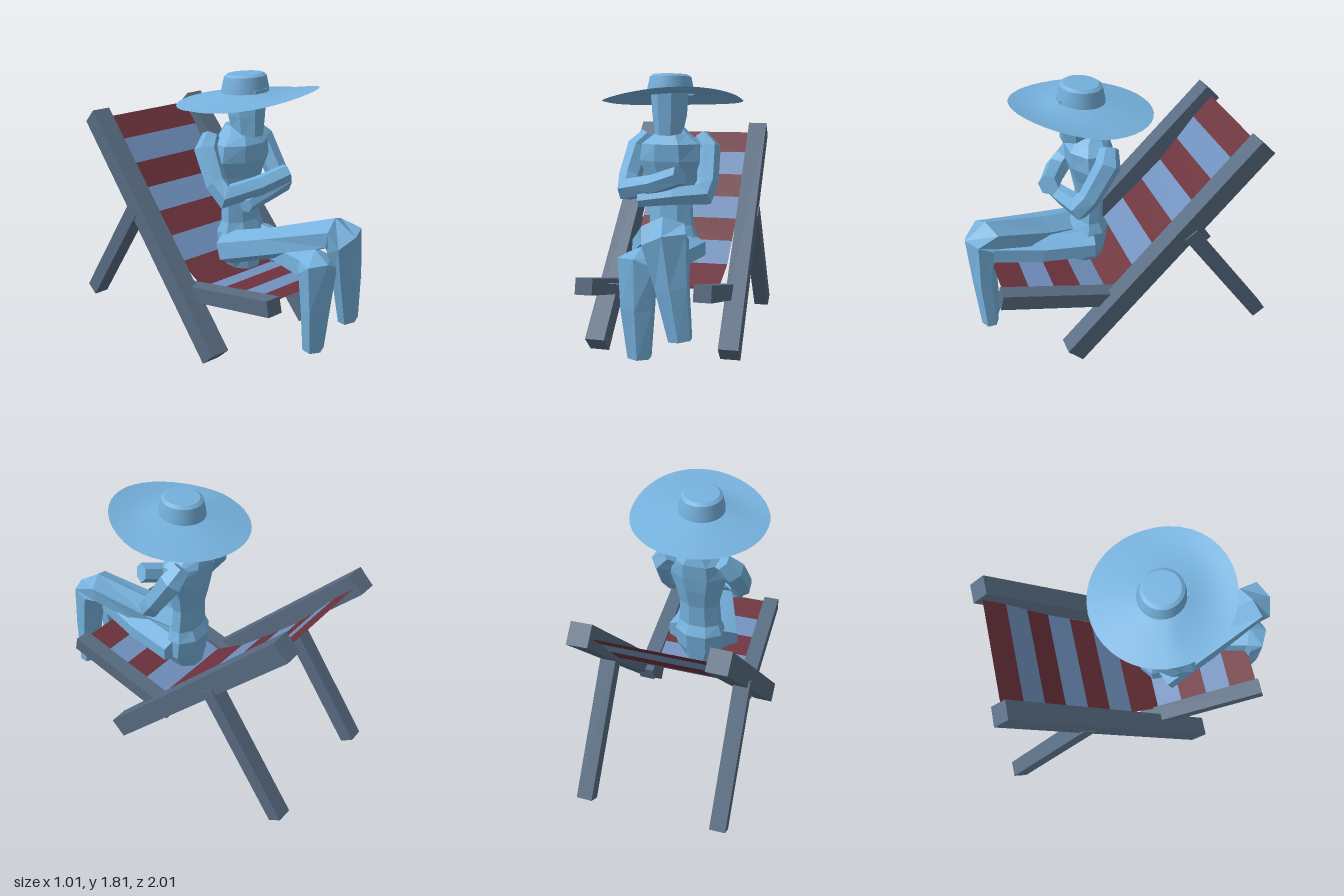
import * as THREE from 'three';
import { toCreasedNormals } from 'three/addons/utils/BufferGeometryUtils.js';

const paint = (color, extra = {}) => new THREE.MeshStandardMaterial({ color, ...extra });

function addMesh(parent, name, geometry, material) {
  const mesh = new THREE.Mesh(geometry, material);
  mesh.name = name;
  parent.add(mesh);
  return mesh;
}

// Straight timber of width w and thickness t running from a to b
function beam(parent, name, a, b, w, t, material) {
  const from = new THREE.Vector3(...a), to = new THREE.Vector3(...b);
  const mesh = addMesh(parent, name, new THREE.BoxGeometry(w, t, from.distanceTo(to)), material);
  mesh.position.copy(from).lerp(to, 0.5);
  mesh.lookAt(to);
}

// Faceted body through stations [x, y, z, halfWidth, halfDepth], capped at both ends.
// halfWidth is measured along side; a fixed axis keeps all sections parallel.
function loft(stations, side, n, axis) {
  const centres = stations.map(s => new THREE.Vector3(s[0], s[1], s[2]));
  const grow = 1 / Math.cos(Math.PI / n);
  const last = centres.length - 1;
  const rings = centres.map((c, i) => {
    const t = new THREE.Vector3();
    if (axis) t.copy(axis);
    else {
      if (i > 0) t.add(c.clone().sub(centres[i - 1]).normalize());
      if (i < last) t.add(centres[i + 1].clone().sub(c).normalize());
      t.normalize();
    }
    const s = side.clone().addScaledVector(t, -side.dot(t)).normalize();
    const u = t.clone().cross(s);
    return Array.from({ length: n }, (_, k) => {
      const a = (k + 0.5) * 2 * Math.PI / n;
      return c.clone()
        .addScaledVector(s, Math.cos(a) * stations[i][3] * grow)
        .addScaledVector(u, Math.sin(a) * stations[i][4] * (n % 4 ? 1 : grow));
    });
  });
  const pts = [];
  for (let k = 0; k < n; k++) {
    const m = (k + 1) % n;
    for (let i = 0; i < last; i++) {
      const A = rings[i], B = rings[i + 1];
      pts.push(A[k], A[m], B[m], A[k], B[m], B[k]);
    }
    pts.push(centres[0], rings[0][m], rings[0][k]);
    pts.push(centres[last], rings[last][k], rings[last][m]);
  }
  const g = new THREE.BufferGeometry().setFromPoints(pts);
  g.computeVertexNormals();
  return g;
}

function buildChair() {
  const chair = new THREE.Group();
  chair.name = 'deckChair';
  const wood = paint(0x586c82);
  for (const [s, label] of [[1, 'left'], [-1, 'right']]) {
    beam(chair, label + 'LongRail', [s * 0.44, 0.05, 0.41], [s * 0.4125, 1.397, -0.892], 0.13, 0.138, wood);
    beam(chair, label + 'RearLeg', [s * 0.445, 0.85, -0.39], [s * 0.452, 0.055, -0.953], 0.105, 0.1, wood);
    beam(chair, label + 'SeatRail', [s * 0.361, 0.357, 0.01], [s * 0.361, 0.555, 0.855], 0.107, 0.102, wood);
  }

  // Canvas sling: stripe edges as [z, y, halfWidth], from top of back to front of seat
  const edges = [
    [-0.88, 1.37, 0.35], [-0.75, 1.23, 0.35], [-0.63, 1.077, 0.348], [-0.505, 0.928, 0.345],
    [-0.365, 0.793, 0.342], [-0.22, 0.659, 0.338], [-0.07, 0.525, 0.335], [0.13, 0.405, 0.315],
    [0.3, 0.452, 0.31], [0.48, 0.488, 0.31], [0.65, 0.527, 0.31], [0.83, 0.575, 0.31],
  ];
  const cloth = [0x6c323c, 0x7090bd].map(c => paint(c, { side: THREE.DoubleSide, flatShading: true }));
  for (let i = 0; i < edges.length - 1; i++) {
    const [[z0, y0, w0], [z1, y1, w1]] = [edges[i], edges[i + 1]];
    const a = new THREE.Vector3(-w0, y0, z0), b = new THREE.Vector3(-w1, y1, z1);
    const c = new THREE.Vector3(w1, y1, z1), d = new THREE.Vector3(w0, y0, z0);
    const g = new THREE.BufferGeometry().setFromPoints([a, b, c, a, c, d]);
    g.computeVertexNormals();
    addMesh(chair, 'canvasStripe' + (i + 1), g, cloth[i % 2]);
  }
  return chair;
}

function buildSitter() {
  const sitter = new THREE.Group();
  sitter.name = 'sitter';
  const skin = paint(0x76b2de, { flatShading: true });
  const X = new THREE.Vector3(1, 0, 0), Y = new THREE.Vector3(0, 1, 0);

  // Torso: [y, halfWidth, back z, front z]
  const torso = [
    [0.51, 0.1, 0.07, 0.285], [0.62, 0.16, 0.055, 0.285], [0.76, 0.165, 0.035, 0.27],
    [0.83, 0.14, 0.07, 0.24], [1.0, 0.13, 0.06, 0.225], [1.14, 0.16, 0.03, 0.25],
    [1.25, 0.2, 0.015, 0.28], [1.36, 0.185, 0.005, 0.285], [1.42, 0.11, 0.02, 0.24],
    [1.46, 0.07, 0.035, 0.18],
  ].map(([y, w, b, f]) => [0, y, (b + f) / 2, w, (f - b) / 2]);
  addMesh(sitter, 'torso', loft(torso, X, 8, Y), skin);

  // Head, with the jaw line rising toward the back, and a short neck
  const head = loft([[0, 1.42, 0.2, 0.085, 0.12], [0, 1.54, 0.195, 0.1, 0.132], [0, 1.72, 0.195, 0.112, 0.142]], X, 8, Y);
  const hp = head.attributes.position;
  for (let i = 0; i < hp.count; i++) {
    if (hp.getY(i) < 1.43) hp.setY(i, 1.42 + 0.4 * Math.max(0, 0.27 - hp.getZ(i)));
  }
  head.computeVertexNormals();
  addMesh(sitter, 'head', head, skin);
  addMesh(sitter, 'neck', loft([[0, 1.4, 0.12, 0.07, 0.07], [0, 1.55, 0.17, 0.06, 0.06]], X, 8, Y), skin);

  // Right leg crossed over the left one
  addMesh(sitter, 'crossedRightLeg', loft([
    [-0.14, 0.66, 0.18, 0.12, 0.11], [-0.02, 0.76, 0.5, 0.12, 0.1], [0.13, 0.9, 0.86, 0.125, 0.1],
    [0.16, 0.86, 0.925, 0.13, 0.1], [0.2, 0.6, 0.925, 0.095, 0.07], [0.245, 0.29, 0.915, 0.065, 0.055],
  ], X, 6), skin);
  addMesh(sitter, 'lowerLeftLeg', loft([
    [0.13, 0.68, 0.16, 0.105, 0.09], [0.08, 0.685, 0.5, 0.11, 0.09], [0, 0.71, 0.83, 0.11, 0.105],
    [-0.02, 0.7, 0.88, 0.115, 0.1], [-0.02, 0.45, 0.875, 0.095, 0.075], [-0.015, 0.15, 0.862, 0.065, 0.062],
  ], X, 6), skin);

  // Folded arms: width runs across the plane of each bend
  const arm = (name, stations) => {
    const p = stations.map(s => new THREE.Vector3(s[0], s[1], s[2]));
    const bend = p[2].clone().sub(p[1]).cross(p[5].clone().sub(p[3])).normalize();
    addMesh(sitter, name, loft(stations, bend, 6), skin);
  };
  arm('leftArm', [
    [0.17, 1.4, 0.06, 0.055, 0.06], [0.235, 1.32, 0.09, 0.075, 0.08], [0.255, 1.12, 0.22, 0.065, 0.07],
    [0.235, 1.05, 0.28, 0.07, 0.085], [0.05, 1.04, 0.34, 0.055, 0.06], [-0.16, 1.01, 0.38, 0.045, 0.045],
  ]);
  arm('rightArm', [
    [-0.17, 1.4, 0.06, 0.055, 0.06], [-0.235, 1.32, 0.09, 0.075, 0.08], [-0.265, 1.14, 0.22, 0.065, 0.07],
    [-0.25, 1.07, 0.29, 0.07, 0.085], [-0.05, 1.12, 0.38, 0.06, 0.065], [0.13, 1.185, 0.45, 0.06, 0.06],
  ]);
  return sitter;
}

function buildHat() {
  const hat = new THREE.Group();
  hat.name = 'sunHat';
  const straw = paint(0x76b2de, { side: THREE.DoubleSide });
  const lathe = pts => new THREE.LatheGeometry(pts.map(p => new THREE.Vector2(...p)), 40);

  // Crown, tipped back a little
  const crown = lathe([[0.152, 1.675], [0.148, 1.715], [0.133, 1.785], [0.112, 1.8], [0, 1.802]]);
  const c = crown.attributes.position;
  for (let i = 0; i < c.count; i++) c.setY(i, c.getY(i) + 0.08 * c.getZ(i));
  crown.translate(0.003, 0, 0.185);
  addMesh(hat, 'crown', toCreasedNormals(crown, 0.45), straw);

  // Floppy brim: rim height varies around the head, highest at the front
  const inner = 0.13, outer = 0.45;
  const brim = lathe(Array.from({ length: 9 }, (_, i) => [inner + (outer - inner) * i / 8, 0]));
  const b = brim.attributes.position;
  for (let i = 0; i < b.count; i++) {
    const x = b.getX(i), z = b.getZ(i), r = Math.hypot(x, z), t = (r - inner) / (outer - inner);
    const dx = x / r, dz = z / r;
    const rim = 1.635 + 0.0625 * dz + 0.0225 * dz * dz + 0.01 * dx + 0.04 * dx * Math.max(dz, 0);
    const root = 1.69 + 0.01 * dz;
    b.setXYZ(i, x + 0.018 * t, root + (rim - root) * t - 0.025 * Math.sin(Math.PI * t) * Math.max(dz, 0), z + 0.19);
  }
  brim.computeVertexNormals();
  addMesh(hat, 'brim', brim, straw);
  return hat;
}

export function createModel() {
  const model = new THREE.Group();
  model.name = 'sunbatherOnDeckChair';
  model.add(buildChair(), buildSitter(), buildHat());
  return model;
}
